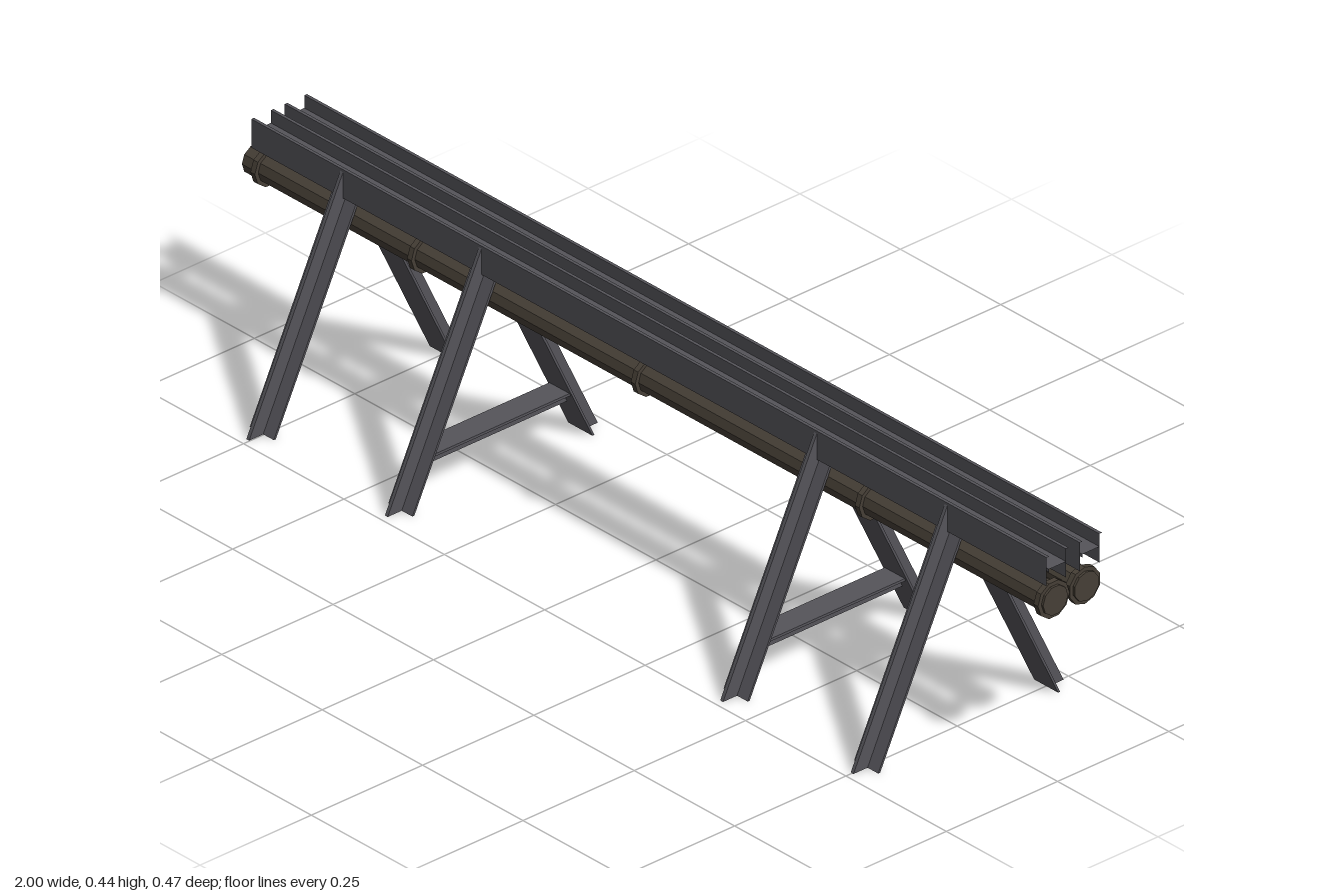
import * as THREE from 'three';

const steel = new THREE.MeshStandardMaterial({ color: 0x55545a, flatShading: true });
steel.name = 'grey steel';
const pipeBrown = new THREE.MeshStandardMaterial({ color: 0x463f36, flatShading: true });
pipeBrown.name = 'brown pipe';

function add(parent, name, geometry, material) {
  const mesh = new THREE.Mesh(geometry, material);
  mesh.name = name;
  parent.add(mesh);
  return mesh;
}

// Extrude a side profile of [z, y] points symmetrically along x
function plate(points, width) {
  const shape = new THREE.Shape(points.map(([z, y]) => new THREE.Vector2(z, y)));
  const g = new THREE.ExtrudeGeometry(shape, { depth: width, bevelEnabled: false });
  g.translate(0, 0, -width / 2);
  return g.rotateY(-Math.PI / 2);
}

// Box running along x with both ends left open
function openBar(length, height, depth) {
  const g = new THREE.BoxGeometry(length, height, depth);
  g.setIndex(Array.from(g.index.array).slice(12));
  g.clearGroups();
  return g;
}

// Leaning T-section leg: web outside, flange inside
function makeLeg(side) {
  const leg = new THREE.Group();
  leg.name = side > 0 ? 'frontLeg' : 'backLeg';
  const mirror = (pts) => pts.map(([z, y]) => [z * side, y]);
  add(leg, 'legWeb', plate(mirror([[0.236, 0], [0.204, 0], [0.018, 0.384], [0.025, 0.435]]), 0.007), steel);
  add(leg, 'legFlange', plate(mirror([[0.2045, 0], [0.2, 0], [0.0135, 0.385], [0.0175, 0.388]]), 0.06), steel);
  return leg;
}

// T-section brace between the two legs
function makeBrace() {
  const brace = new THREE.Group();
  brace.name = 'crossBrace';
  add(brace, 'braceWeb', plate([[-0.168, 0.068], [0.168, 0.068], [0.156, 0.093], [-0.156, 0.093]], 0.007), steel);
  add(brace, 'braceFlange', plate([[-0.157, 0.092], [0.157, 0.092], [0.154, 0.097], [-0.154, 0.097]], 0.05), steel);
  return brace;
}

// H-section rail: two upright flanges and a level web
function makeRail(z) {
  const rail = new THREE.Group();
  rail.name = 'rail';
  const length = 1.98;
  for (const s of [-1, 1]) {
    add(rail, 'railFlange', openBar(length, 0.055, 0.006), steel).position.z = s * 0.022;
  }
  add(rail, 'railWeb', openBar(length, 0.006, 0.039), steel);
  rail.position.set(0.01, 0.4125, z);
  return rail;
}

// Pipe with collars at its joints
function makePipe(z, turn) {
  const pipe = new THREE.Group();
  pipe.name = 'pipe';
  const rod = (radius, length) =>
    new THREE.CylinderGeometry(radius, radius, length, 10).rotateZ(Math.PI / 2).rotateX(turn);
  add(pipe, 'pipeBody', rod(0.028, 1.995), pipeBrown).position.x = -0.0025;
  for (const x of [-0.965, -0.575, -0.018, 0.54, 0.985]) {
    add(pipe, 'pipeCollar', rod(0.0355, 0.011), pipeBrown).position.x = x;
  }
  pipe.position.set(0, 0.346, z);
  return pipe;
}

export function createModel() {
  const model = new THREE.Group();
  model.name = 'pipeRack';

  // Trestles; the inner pair is braced
  for (const [x, braced] of [[-0.755, false], [-0.41, true], [0.425, true], [0.75, false]]) {
    const trestle = new THREE.Group();
    trestle.name = 'trestle';
    trestle.add(makeLeg(1), makeLeg(-1));
    if (braced) trestle.add(makeBrace());
    trestle.position.x = x;
    model.add(trestle);
  }

  // Rails with a pipe slung below each
  model.add(makeRail(0), makeRail(-0.075));
  model.add(makePipe(0, 0), makePipe(-0.07, Math.PI / 10));
  return model;
}
